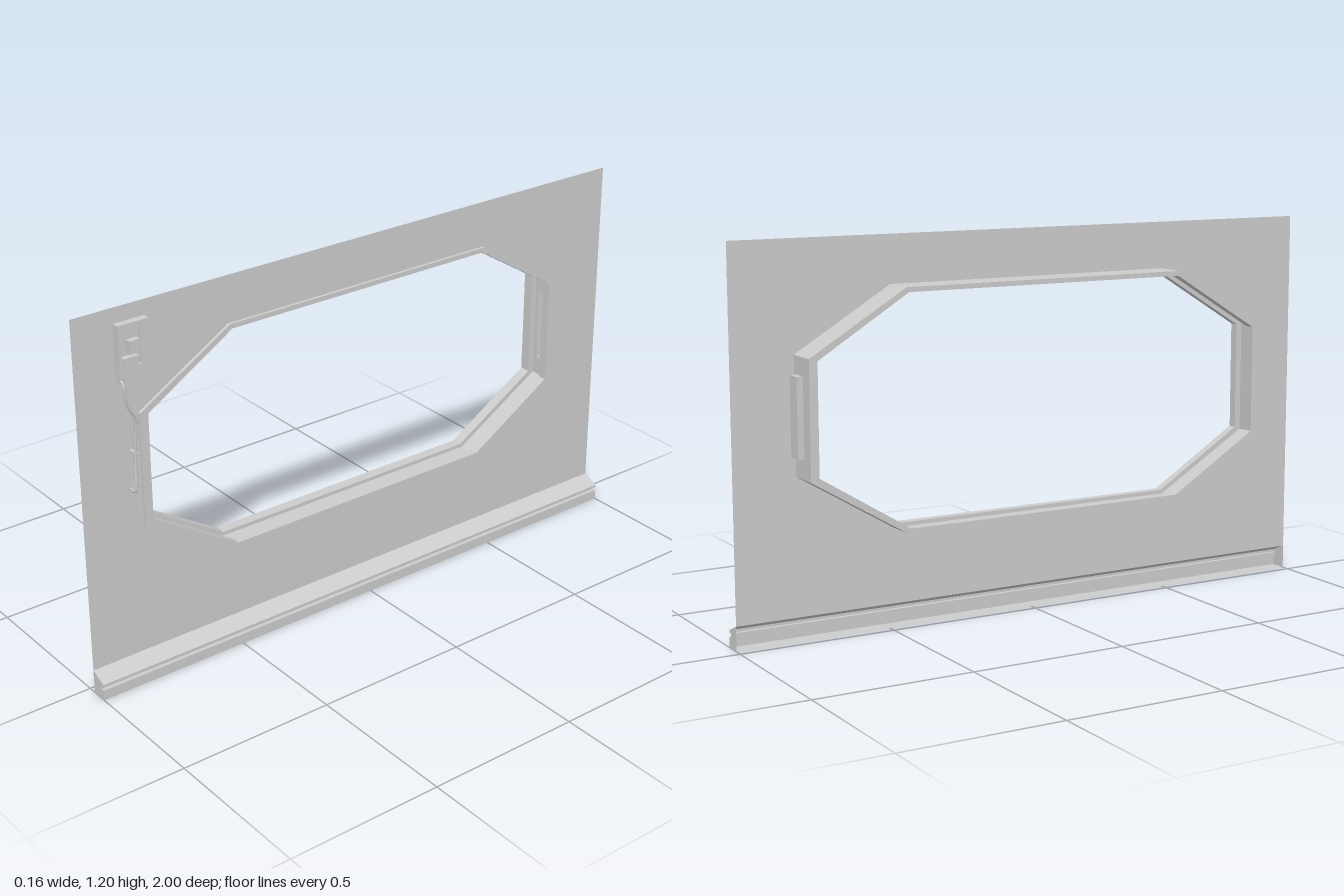
import * as THREE from 'three';

const grey = new THREE.MeshStandardMaterial({ color: 0xcccccc, flatShading: true });
const sheet = new THREE.MeshStandardMaterial({ color: 0xcccccc, flatShading: true, side: THREE.DoubleSide });
const smooth = new THREE.MeshStandardMaterial({ color: 0xcccccc });

const WALL_X = 0.026;
const points = (list) => list.map(([x, y]) => new THREE.Vector2(x, y));

// Octagon corners as (-z, y); t = 0 is the outer edge of the frame, t = 1 the opening
function octagon(t) {
  const mix = (a, b) => a + (b - a) * t;
  const w = mix(0.8, 0.773), c = mix(0.485, 0.477);
  const top = mix(1.051, 1.036), bottom = mix(0.313, 0.329);
  const high = mix(0.862, 0.854), low = mix(0.501, 0.511);
  return points([[-w, low], [-w, high], [-c, top], [c, top], [w, high], [w, low], [c, bottom], [-c, bottom]]);
}

export function createModel() {
  const model = new THREE.Group();
  model.name = 'wallWithWindow';

  function add(name, geometry, material = grey, parent = model) {
    const mesh = new THREE.Mesh(geometry, material);
    mesh.name = name;
    parent.add(mesh);
    return mesh;
  }

  function group(name, parent = model) {
    const g = new THREE.Group();
    g.name = name;
    parent.add(g);
    return g;
  }

  // Box given by its limits on each axis
  function box(name, x0, x1, y0, y1, z0, z1, parent) {
    add(name, new THREE.BoxGeometry(x1 - x0, y1 - y0, z1 - z0), grey, parent)
      .position.set((x0 + x1) / 2, (y0 + y1) / 2, (z0 + z1) / 2);
  }

  // Shape drawn in (-z, y), extruded along x
  function slab(name, shape, x0, x1, parent) {
    const geometry = new THREE.ExtrudeGeometry(shape, { depth: x1 - x0, bevelEnabled: false });
    geometry.rotateY(Math.PI / 2).translate(x0, 0, 0);
    add(name, geometry, grey, parent);
  }

  // Outline with a hole wound the opposite way
  function withHole(outline, hole) {
    const shape = new THREE.Shape(outline);
    shape.holes.push(new THREE.Path(hole.reverse()));
    return shape;
  }

  // Thin wall sheet with the window cut out
  const wall = withHole(points([[-1, 0.076], [-1, 1.2], [1, 1.2], [1, 0.076]]), octagon(0));
  const wallGeometry = new THREE.ShapeGeometry(wall);
  wallGeometry.rotateY(Math.PI / 2).translate(WALL_X, 0, 0);
  add('wallPanel', wallGeometry, sheet);

  // Baseboard: a folded strip, open at the back, with a groove along the front
  const profile = points([[WALL_X, 0], [0.079, 0], [0.079, 0.033], [0.066, 0.033],
    [0.066, 0.045], [0.079, 0.045], [0.079, 0.053], [WALL_X, 0.077]]);
  const baseboard = group('baseboard');
  const vertices = profile.flatMap((p) => [p.x, p.y, 1, p.x, p.y, -1]);
  const faces = [];
  for (let i = 0; i < profile.length - 1; i++) {
    const a = 2 * i;
    faces.push(a, a + 1, a + 2, a + 1, a + 3, a + 2);
  }
  const strip = new THREE.BufferGeometry();
  strip.setAttribute('position', new THREE.Float32BufferAttribute(vertices, 3));
  strip.setIndex(faces);
  strip.computeVertexNormals();
  add('baseboardStrip', strip, sheet, baseboard);
  for (const z of [-1, 1])
    add('baseboardEnd', new THREE.ShapeGeometry(new THREE.Shape(profile)), sheet, baseboard).position.z = z;

  // Window frame: two lips with a channel between them
  const BACK = -0.045, FRONT = 0.008;
  const frame = group('windowFrame');
  slab('frontLip', withHole(octagon(0), octagon(1)), FRONT, 0.036, frame);
  slab('backLip', withHole(octagon(0), octagon(1)), -0.08, BACK, frame);

  // Channel wall, left open at the slot on the -z side
  const slotLow = 0.563, slotHigh = 0.806;
  const around = (pts) => [
    new THREE.Vector2(pts[5].x, slotLow), ...pts.slice(5), ...pts.slice(0, 5),
    new THREE.Vector2(pts[4].x, slotHigh)];
  slab('channelWall', new THREE.Shape([...around(octagon(0)), ...around(octagon(0.25)).reverse()]),
    BACK, FRONT, frame);
  box('slotEdge', BACK, -0.032, slotLow, slotHigh, -0.8, -0.7932, frame);

  // Pocket behind the slot
  const pocket = group('slotPocket', frame);
  box('pocketBack', -0.036, 0.012, slotLow, slotHigh, -0.82, -0.816, pocket);
  for (const y of [slotLow, slotHigh - 0.004])
    box('pocketEnd', -0.036, 0.012, y, y + 0.004, -0.816, -0.8, pocket);
  for (const x of [-0.036, FRONT])
    box('pocketSide', x, x + 0.004, slotLow + 0.004, slotHigh - 0.004, -0.816, -0.8, pocket);

  // Control box: a recessed face with a raised handle and foot
  const control = group('controlBox');
  const rim = withHole(
    points([[-0.866, 0.975], [-0.866, 1.152], [-0.765, 1.152], [-0.765, 0.975]]),
    points([[-0.856, 1.02], [-0.856, 1.13], [-0.792, 1.13], [-0.792, 1.02]]));
  box('controlBack', WALL_X, 0.036, 0.975, 1.152, 0.765, 0.866, control);
  slab('controlRim', rim, 0.036, 0.049, control);
  box('controlHandle', 0.036, 0.055, 1.06, 1.1, 0.8, 0.834, control);
  box('controlFoot', 0.036, 0.055, 1.02, 1.052, 0.806, 0.856, control);

  // Cable hanging from the control box and returning into the wall
  const path = new THREE.CatmullRomCurve3([
    [0.048, 0.985, 0.864], [0.059, 0.978, 0.863], [0.059, 0.915, 0.855], [0.054, 0.865, 0.828],
    [0.051, 0.84, 0.824], [0.047, 0.76, 0.828], [0.048, 0.7, 0.831], [0.052, 0.645, 0.835],
    [0.048, 0.629, 0.836], [WALL_X, 0.626, 0.836],
  ].map((p) => new THREE.Vector3(...p)), false, 'centripetal');
  add('cable', new THREE.TubeGeometry(path, 64, 0.004, 8), smooth);

  // Clips holding the cable
  for (const [x, y, z] of [[0.053, 0.75, 0.829], [0.032, 0.628, 0.836]])
    box('cableClip', WALL_X - 0.002, x, y - 0.004, y + 0.004, z - 0.006, z + 0.006, model);

  return model;
}
